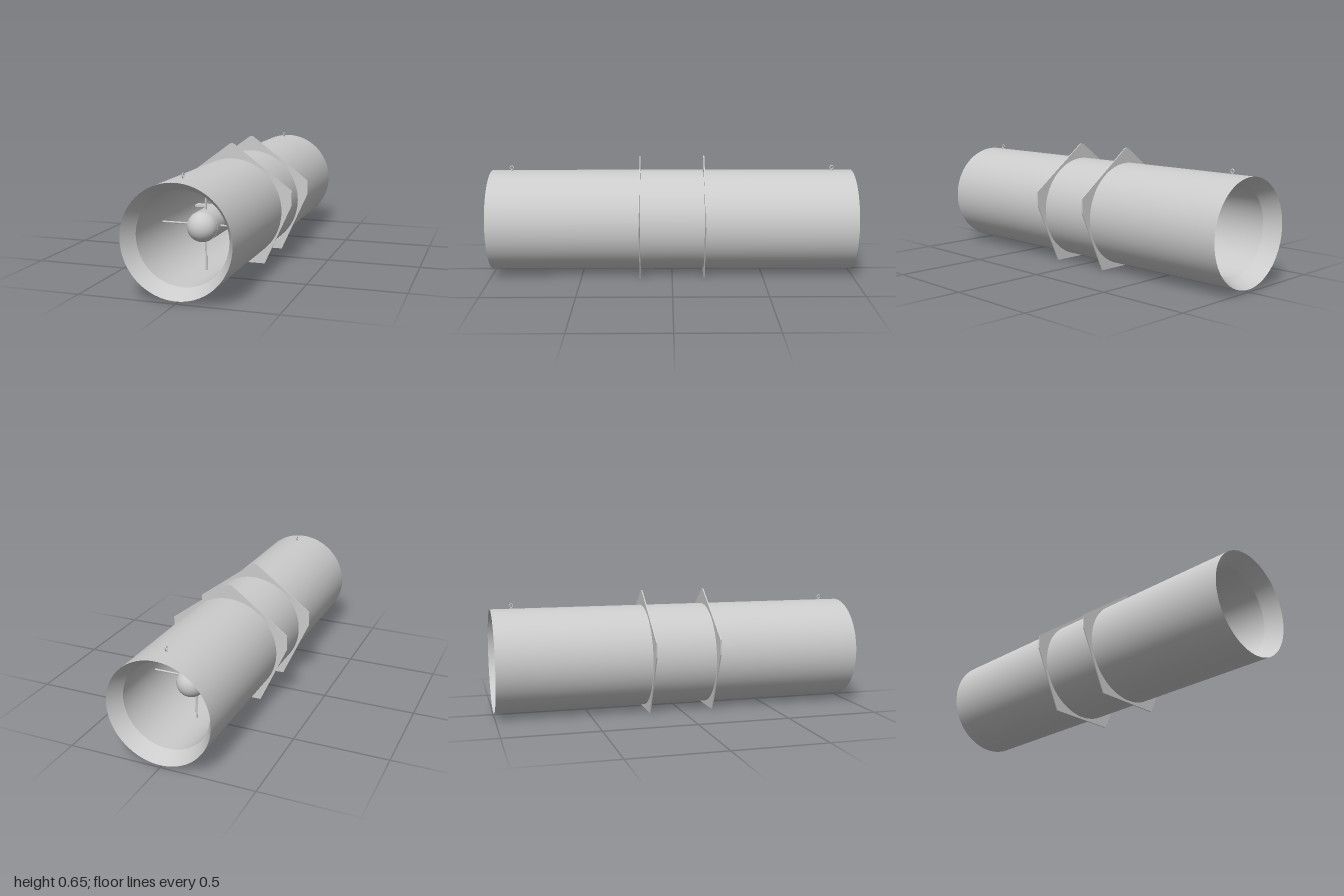
import * as THREE from 'three';

const CX = 0.002, CY = 0.2905, R = 0.2775, BORE = 0.2335;

export function createModel() {
  const model = new THREE.Group();
  const grey = new THREE.MeshStandardMaterial({ color: 0xcccccc });
  const add = (parent, name, geo, x = 0, y = 0, z = 0) => {
    const mesh = new THREE.Mesh(geo, grey);
    mesh.name = name;
    mesh.position.set(x, y, z);
    parent.add(mesh);
    return mesh;
  };

  // Everything on the duct axis hangs on this group
  const axis = new THREE.Group();
  axis.name = 'ductAssembly';
  axis.position.set(CX, CY, 0);
  model.add(axis);

  // Duct shell: outer wall, flared mouths and bore as separate crisp strips
  const strip = (name, a, b) => add(axis, name, new THREE.LatheGeometry(
    [new THREE.Vector2(...a), new THREE.Vector2(...b)], 96).rotateX(Math.PI / 2));
  strip('outerWall', [R, -1], [R, 1]);
  strip('frontMouth', [R, 1], [BORE, 0.915]);
  strip('bore', [BORE, 0.915], [BORE, -0.915]);
  strip('backMouth', [BORE, -0.915], [R, -1]);

  // Five-sided mounting plates with a rounded peak
  const plate = new THREE.Shape();
  plate.moveTo(-0.187, 0);
  plate.lineTo(0.187, 0);
  plate.lineTo(0.335, 0.328);
  plate.lineTo(0.335, 0.407);
  plate.lineTo(0.015, 0.645);
  plate.quadraticCurveTo(0, 0.656, -0.015, 0.645);
  plate.lineTo(-0.335, 0.407);
  plate.lineTo(-0.335, 0.328);
  plate.closePath();
  const hole = new THREE.Path();
  hole.absarc(CX, CY, R - 0.003, 0, Math.PI * 2, true);
  plate.holes.push(hole);
  const plateGeo = new THREE.ExtrudeGeometry(plate, { depth: 0.006, bevelEnabled: false, curveSegments: 48 });

  for (const s of [1, -1]) {
    add(model, 'mountingPlate', plateGeo, 0, 0, s * 0.176 - 0.003);

    // Lifting eye on the crown of the duct
    add(model, 'liftingEye', new THREE.TorusGeometry(0.0095, 0.003, 10, 28).rotateY(Math.PI / 2), CX, 0.585, s * 0.888);
    add(model, 'eyeBase', new THREE.CylinderGeometry(0.004, 0.006, 0.012, 12), CX, 0.57, s * 0.888);

    // Centre pod with domed nose
    add(axis, 'pod', new THREE.CylinderGeometry(0.078, 0.078, 0.5, 48).rotateX(Math.PI / 2), 0, 0, s * 0.39);
    add(axis, 'podNose', new THREE.SphereGeometry(0.077, 48, 24), 0, 0, s * 0.64);

    // Four support struts per pod
    for (let i = 0; i < 4; i++) {
      const strut = new THREE.CylinderGeometry(0.005, 0.005, 0.164, 12).translate(0, 0.154, 0);
      add(axis, 'strut', strut, 0, 0, s * 0.59).rotation.z = i * Math.PI / 2;
    }
  }

  // Motor with cooling fins and a terminal box
  add(axis, 'motor', new THREE.CylinderGeometry(0.08, 0.08, 0.28, 48).rotateX(Math.PI / 2));
  const FINS = 60;
  for (let i = 0; i < FINS; i++) {
    const fin = new THREE.BoxGeometry(0.004, 0.01, 0.22).translate(0, 0.08, 0);
    add(axis, 'coolingFin', fin).rotation.z = (i / FINS) * Math.PI * 2;
  }
  add(axis, 'terminalBox', new THREE.BoxGeometry(0.02, 0.024, 0.06), 0, 0.09, 0);

  // Eight fan blades, seen edge-on along the axis
  for (let i = 0; i < 8; i++) {
    const blade = new THREE.BoxGeometry(0.011, 0.15, 0.05).translate(0, 0.151, 0.13);
    add(axis, 'fanBlade', blade).rotation.z = i * Math.PI / 4;
  }
  return model;
}
